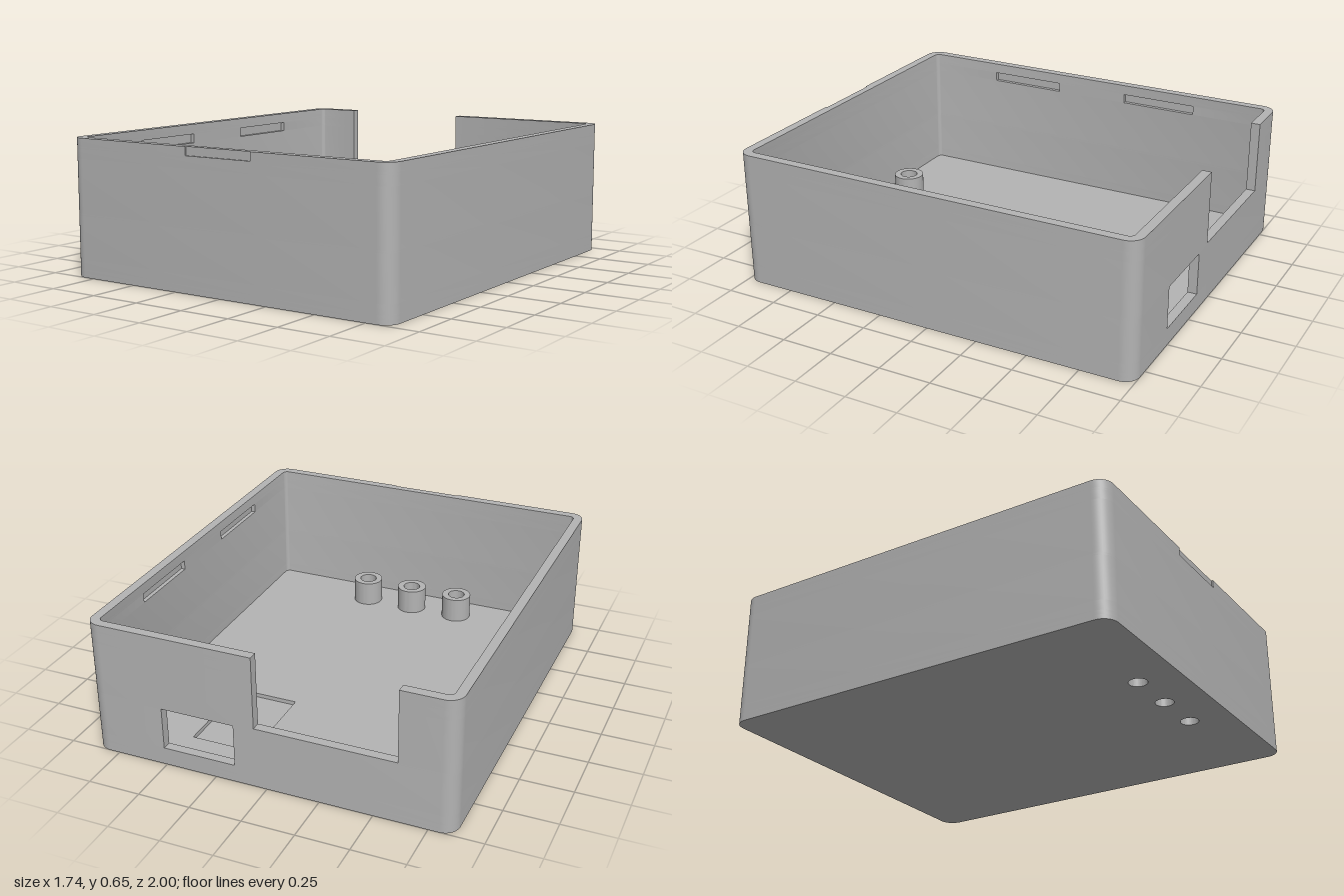
import * as THREE from 'three';
import { toCreasedNormals } from 'three/addons/utils/BufferGeometryUtils.js';

const W = 0.87, D = 1, H = 0.65;      // half width, half depth, height
const WALL = 0.045, FLOOR = 0.04;
const R_OUT = 0.07, R_IN = 0.025;
const POST_X = [-0.255, 0, 0.255], POST_Z = 0.8, POST_R = 0.075, HOLE_R = 0.043;
const NOTCH = [-0.61, 0.055], PORT = [0.155, 0.51];

// Plan outlines use (x, v) with v = -z, so the back is at +v.
const v2 = (x, v) => new THREE.Vector2(x, v);

// Counter-clockwise rounded loop from the back edge at x0 round to the back edge at x1
function loop(hx, hv, r, x0, x1, { left = [], front = [], right = [] } = {}) {
  const corner = (sx, sv, a0) => Array.from({ length: 11 }, (_, i) => {
    const a = a0 + (i / 10) * Math.PI / 2;
    return v2(sx * (hx - r) + r * Math.cos(a), sv * (hv - r) + r * Math.sin(a));
  });
  return [
    v2(x0, hv), ...corner(-1, 1, Math.PI / 2), ...left,
    ...corner(-1, -1, Math.PI), ...front,
    ...corner(1, -1, Math.PI * 1.5), ...right,
    ...corner(1, 1, 0), ...(x1 > x0 ? [v2(x1, hv)] : []),
  ];
}

function circle(x, v, r) {
  return new THREE.Path().absarc(x, v, r, 0, Math.PI * 2, true);
}

// Upright slab of a plan outline between two heights
function slab(shape, y0, y1) {
  const g = new THREE.ExtrudeGeometry(shape, { depth: y1 - y0, bevelEnabled: false, curveSegments: 32 });
  g.rotateX(-Math.PI / 2).translate(0, y0, 0);
  return toCreasedNormals(g, 0.6);
}

// Wall ring, optionally open at the back, with snap slots inside or a thumb recess in front
function wallShape({ gap, slots, thumb }) {
  const [a, b] = gap || [0, 0];
  const ix = W - WALL, iv = D - WALL, sx = ix + 0.02;
  const cuts = {};
  if (slots) {
    cuts.right = [-0.575, -0.19, 0.19, 0.575].flatMap((v, i) =>
      i % 2 ? [v2(sx, v), v2(ix, v)] : [v2(ix, v), v2(sx, v)]);
    cuts.left = cuts.right.map((p) => v2(-p.x, -p.y));
  }
  const front = thumb
    ? [v2(-0.18, -D), v2(-0.18, -D + 0.008), v2(0.175, -D + 0.008), v2(0.175, -D)] : [];
  const outer = loop(W, D, R_OUT, a, b, { front });
  const inner = loop(ix, iv, R_IN, a, b, cuts);
  if (gap) return new THREE.Shape([...outer, ...inner.reverse()]);
  const shape = new THREE.Shape(outer);
  shape.holes.push(new THREE.Path(inner.reverse()));
  return shape;
}

export function createModel() {
  const model = new THREE.Group();
  model.name = 'enclosure';
  const grey = new THREE.MeshStandardMaterial({ color: 0xb3b3b3 });
  grey.name = 'grey plastic';

  function add(parent, name, geometry) {
    const mesh = new THREE.Mesh(geometry, grey);
    mesh.name = name;
    parent.add(mesh);
    return mesh;
  }

  // Floor: drilled base plate, then a layer with the rectangular recess
  const floor = new THREE.Group();
  floor.name = 'floor';
  const plate = () => {
    const s = new THREE.Shape(loop(W, D, R_OUT, 0, 0));
    POST_X.forEach((x) => s.holes.push(circle(x, -POST_Z, HOLE_R)));
    return s;
  };
  add(floor, 'basePlate', slab(plate(), 0, 0.02));
  const recessed = plate();
  recessed.holes.push(new THREE.Path([v2(0.165, 0.35), v2(0.165, 0.81), v2(0.47, 0.81), v2(0.47, 0.35)]));
  add(floor, 'recessedFloor', slab(recessed, 0.02, FLOOR));
  model.add(floor);

  // Walls stacked in bands, each with the openings found at that height
  const walls = new THREE.Group();
  walls.name = 'walls';
  [
    ['lowerWall', FLOOR, 0.085, {}],
    ['portWall', 0.085, 0.29, { gap: PORT }],
    ['sillWall', 0.29, 0.3, {}],
    ['notchedWall', 0.3, 0.555, { gap: NOTCH }],
    ['slottedWall', 0.555, 0.6, { gap: NOTCH, slots: true }],
    ['upperWall', 0.6, 0.61, { gap: NOTCH }],
    ['rimWall', 0.61, H, { gap: NOTCH, thumb: true }],
  ].forEach(([name, y0, y1, cut]) => add(walls, name, slab(wallShape(cut), y0, y1)));
  model.add(walls);

  // Hollow posts above the drilled holes
  POST_X.forEach((x, i) => {
    const ring = new THREE.Shape().absarc(x, -POST_Z, POST_R, 0, Math.PI * 2, false);
    ring.holes.push(circle(x, -POST_Z, HOLE_R));
    add(model, `post${i + 1}`, slab(ring, FLOOR, 0.165));
  });

  return model;
}
